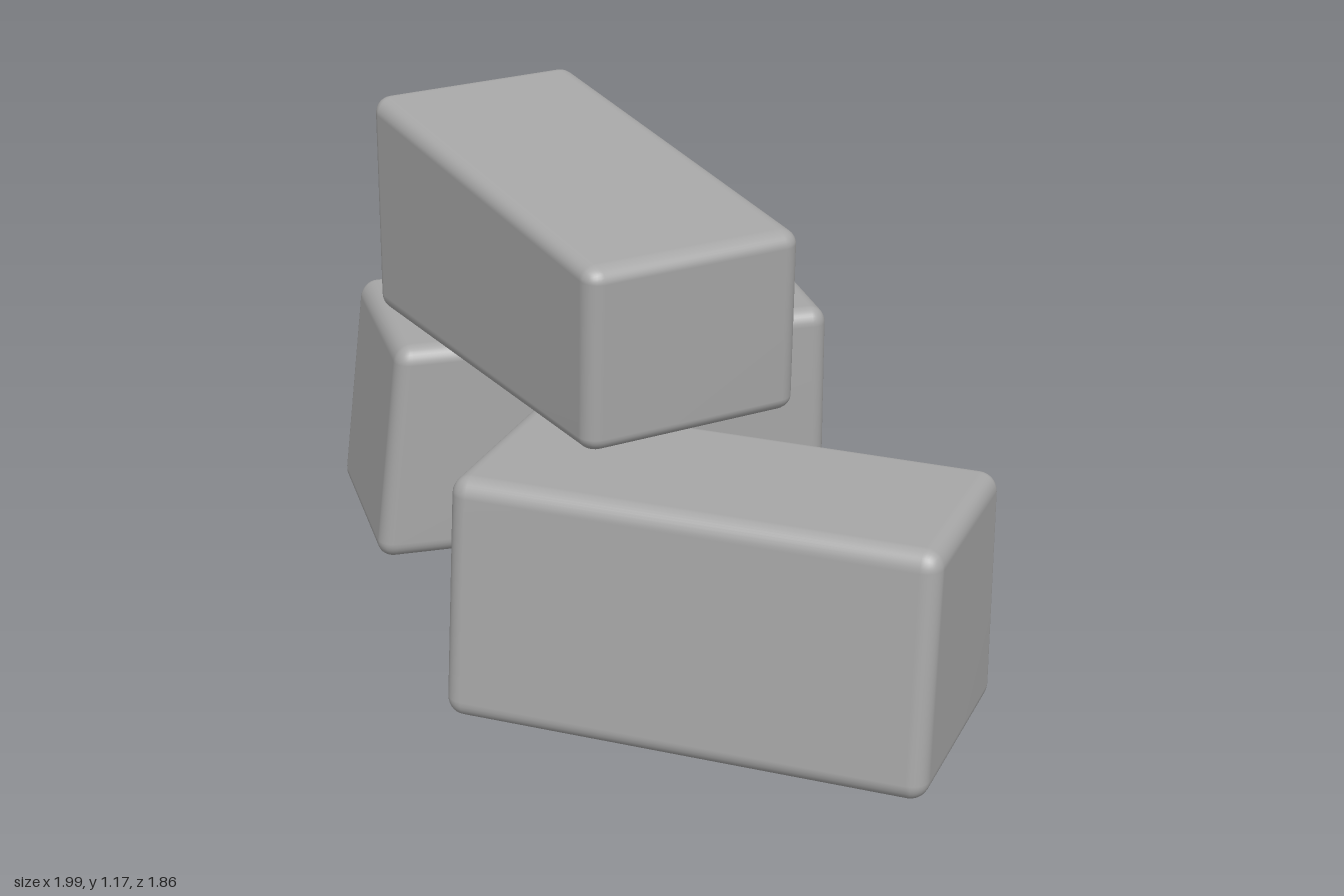
import * as THREE from 'three';
import { mergeVertices } from 'three/addons/utils/BufferGeometryUtils.js';
import { RoundedBoxGeometry } from 'three/addons/geometries/RoundedBoxGeometry.js';

const stone = new THREE.MeshStandardMaterial({ color: 0xa6a6a6 });
stone.name = 'grey stone';

// Rounded block whose vertices are moved by a tapering rule.
// u, v, w run from 0 to 1 across the block in x, y and z.
function makeBlock(name, [lx, ly, lz], [x, y, z], angle, taper) {
  const box = new RoundedBoxGeometry(lx, ly, lz, 4, 0.045);
  box.deleteAttribute('normal');
  box.deleteAttribute('uv');
  const geometry = mergeVertices(box, 1e-4);
  const pos = geometry.attributes.position;
  const p = new THREE.Vector3();
  for (let i = 0; i < pos.count; i++) {
    p.fromBufferAttribute(pos, i);
    taper(p, p.x / lx + 0.5, p.y / ly + 0.5, p.z / lz + 0.5);
    pos.setXYZ(i, p.x, p.y, p.z);
  }
  geometry.computeVertexNormals();
  const mesh = new THREE.Mesh(geometry, stone);
  mesh.name = name;
  mesh.position.set(x, y + ly / 2, z);
  mesh.rotation.y = THREE.MathUtils.degToRad(angle);
  return mesh;
}

export function createModel() {
  const group = new THREE.Group();
  group.name = 'stackedStones';
  group.add(
    // long front face leans back
    makeBlock('frontStone', [1.17, 0.585, 0.575], [0.415, 0.004, 0.645], 0,
      (p, u, v, w) => { p.z -= 0.066 * v * w; }),
    // left end leans inwards
    makeBlock('backStone', [1.22, 0.585, 0.575], [-0.35, 0.004, -0.36], 36,
      (p, u, v) => { p.x += 0.068 * v * (1 - u); }),
    // top slopes down towards the front, end slightly undercut
    makeBlock('topStone', [1.167, 0.585, 0.578], [-0.175, 0.589, 0.06], -39,
      (p, u, v) => {
        p.y -= 0.127 * u * v;
        p.x -= 0.014 * (1 - v) * u;
      })
  );
  return group;
}
